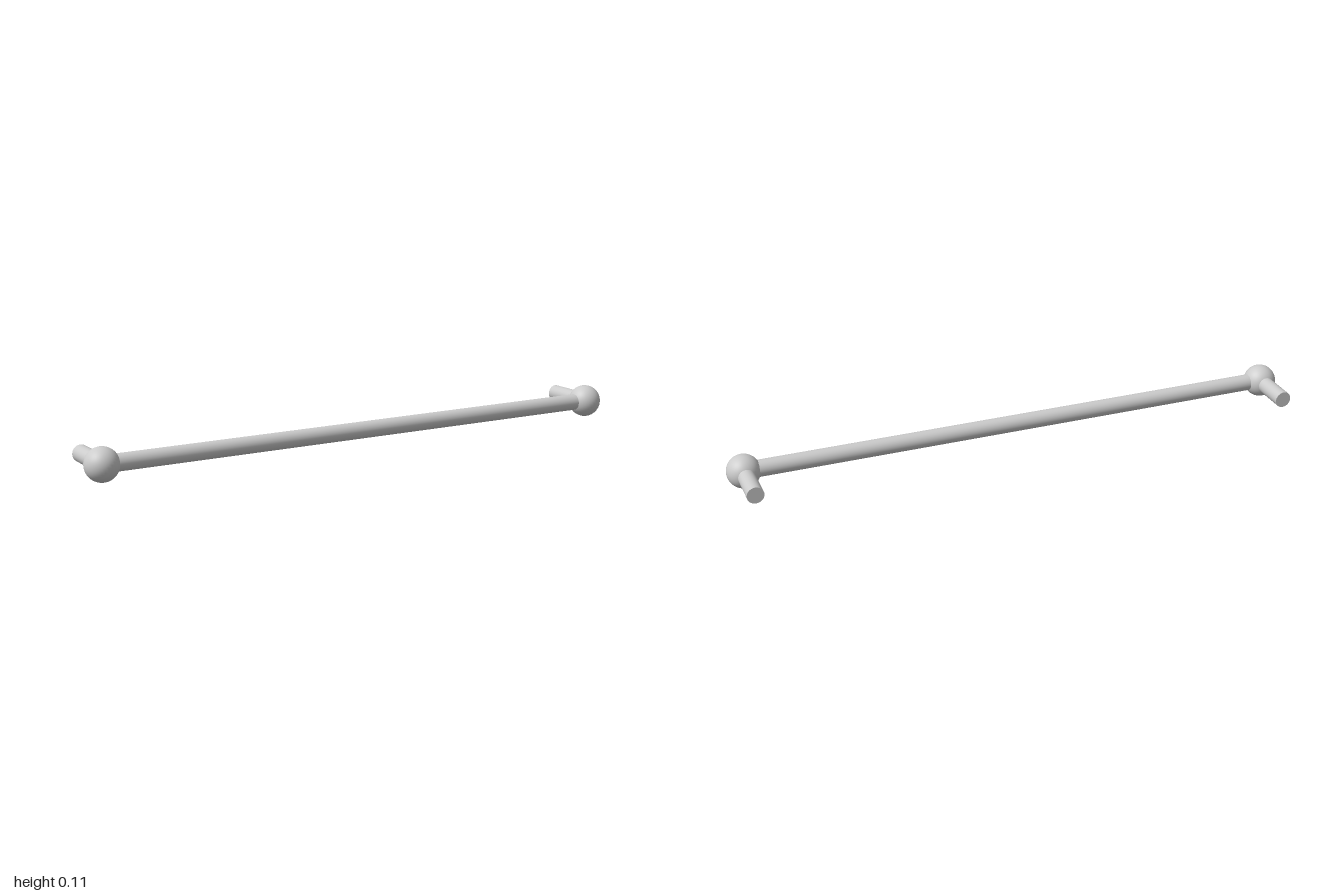
import * as THREE from 'three';

const BALL_R = 0.0565;
const ROD_R = 0.0285;
const BALL_X = 1 - BALL_R;
const BALL_Y = BALL_R;
const BALL_Z = 0.115 - BALL_R;
const BACK_Z = -0.115;

export function createModel() {
  const group = new THREE.Group();
  const material = new THREE.MeshStandardMaterial({ color: 0xcccccc });

  const add = (name, geometry, x, y, z) => {
    const mesh = new THREE.Mesh(geometry, material);
    mesh.name = name;
    mesh.position.set(x, y, z);
    group.add(mesh);
  };

  // Long horizontal rail running between the ball joints
  const rail = new THREE.CylinderGeometry(ROD_R, ROD_R, 2 * BALL_X, 32).rotateZ(Math.PI / 2);
  add('rail', rail, 0, BALL_Y, BALL_Z);

  // Ball joint and rear mounting post at each end
  const ball = new THREE.SphereGeometry(BALL_R, 32, 24);
  const postLength = BALL_Z - BACK_Z;
  const post = new THREE.CylinderGeometry(ROD_R, ROD_R, postLength, 32).rotateX(Math.PI / 2);
  for (const [side, s] of [['left', 1], ['right', -1]]) {
    add(side + 'BallJoint', ball, s * BALL_X, BALL_Y, BALL_Z);
    add(side + 'MountingPost', post, s * BALL_X, BALL_Y, BACK_Z + postLength / 2);
  }

  return group;
}
